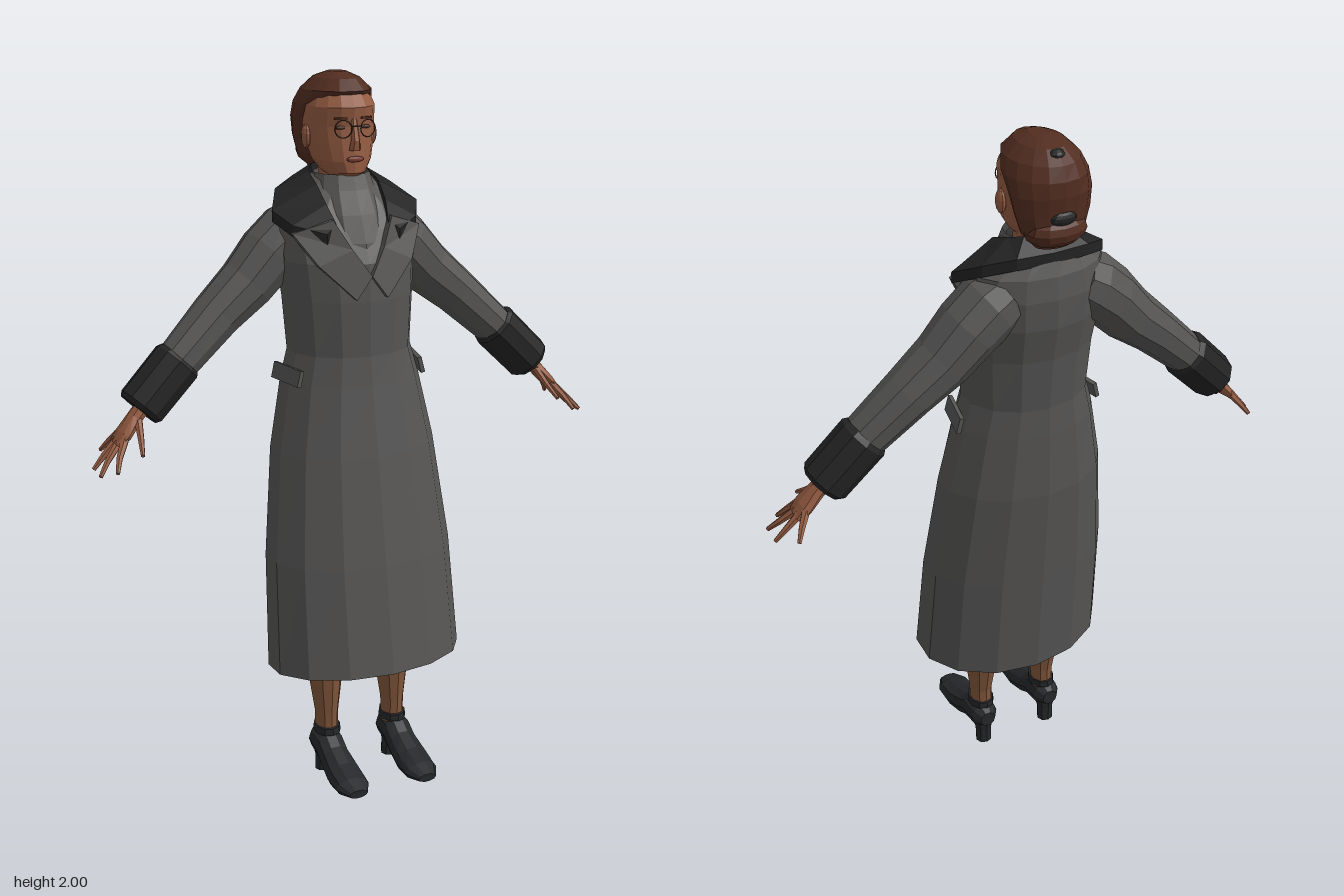
import * as THREE from 'three';

const mat = (name, color, side = THREE.FrontSide) => {
  const m = new THREE.MeshStandardMaterial({ color, flatShading: true, side });
  m.name = name;
  return m;
};

// Skin a list of equal-length rings; the rings run counter-clockwise about the loft direction.
function loft(rings, caps = true) {
  const pos = [];
  const n = rings[0].length;
  const tri = (...pts) => pts.forEach((p) => pos.push(p.x, p.y, p.z));
  for (let r = 0; r < rings.length - 1; r++) {
    const a = rings[r], b = rings[r + 1];
    for (let i = 0; i < n; i++) {
      const j = (i + 1) % n;
      tri(a[i], a[j], b[j]);
      tri(a[i], b[j], b[i]);
    }
  }
  if (caps) {
    const s = rings[0], e = rings[rings.length - 1];
    for (let i = 1; i < n - 1; i++) {
      tri(s[0], s[i + 1], s[i]);
      tri(e[0], e[i], e[i + 1]);
    }
  }
  const g = new THREE.BufferGeometry();
  g.setAttribute('position', new THREE.Float32BufferAttribute(pos, 3));
  g.computeVertexNormals();
  return g;
}

const ring = (n, f) => Array.from({ length: n }, (_, i) => f((i / n) * Math.PI * 2));

// Upright form from sections [y, half width, front z, back z, tilt], lowest first.
function upright(sections, { sides = 12, cx = 0, caps = true, egg = 0 } = {}) {
  return loft(sections.map(([y, w, zf, zb, tilt = 0]) => ring(sides, (t) => {
    const c = Math.cos(t), s = Math.sin(t);
    return new THREE.Vector3(cx + w * s * (1 - egg * c), y + tilt * c, (zf + zb) / 2 + ((zf - zb) / 2) * c);
  })), caps);
}

// Limb along stations [x, y, z, in-plane radius, depth radius].
function limb(stations, sides = 8) {
  const pts = stations.map((s) => new THREE.Vector3(s[0], s[1], s[2]));
  return loft(stations.map((s, i) => {
    const t = pts[Math.min(i + 1, pts.length - 1)].clone().sub(pts[Math.max(i - 1, 0)]).normalize();
    const B = new THREE.Vector3(0, 0, 1).addScaledVector(t, -t.z).normalize();
    const A = B.clone().cross(t);
    return ring(sides, (a) => pts[i].clone()
      .addScaledVector(A, s[3] * Math.cos(a)).addScaledVector(B, s[4] * Math.sin(a)));
  }));
}

// Thick cloth band between an inner and an outer edge.
function band(inner, outer, under) {
  return loft(inner.map((p, i) => {
    const a = new THREE.Vector3(...p), b = new THREE.Vector3(...outer[i]);
    return [a.clone().add(under), b.clone().add(under), b, a];
  }));
}

export function createModel() {
  const model = new THREE.Group();
  const wool = mat('coat grey', 0x565554, THREE.DoubleSide);
  const scarfGrey = mat('scarf grey', 0x5c5a58, THREE.DoubleSide);
  const fur = mat('trim black', 0x232323);
  const skin = mat('skin', 0x955c42);
  const stocking = mat('stocking brown', 0x81563a);
  const leather = mat('shoe black', 0x25272a);
  const hairBrown = mat('hair brown', 0x522d20);
  const lipRed = mat('lip', 0x7d3f33);
  const wire = mat('wire brown', 0x4a3128);

  const add = (name, geometry, material, parent = model) => {
    const mesh = new THREE.Mesh(geometry, material);
    mesh.name = name;
    parent.add(mesh);
    return mesh;
  };
  const blob = (name, material, p, r, parent = model, w = 10, h = 7) => {
    const m = add(name, new THREE.SphereGeometry(1, w, h), material, parent);
    m.position.set(...p);
    m.scale.set(...r);
    return m;
  };

  // Coat with a flared skirt, open at hem and neck
  add('coat', upright([
    [0.38, 0.285, 0.262, -0.14, 0.02], [0.7, 0.272, 0.207, -0.17], [1.0, 0.237, 0.152, -0.198],
    [1.19, 0.198, 0.114, -0.198], [1.27, 0.175, 0.102, -0.196], [1.42, 0.185, 0.1, -0.21],
    [1.52, 0.195, 0.092, -0.232], [1.6, 0.198, 0.05, -0.235], [1.66, 0.18, 0.005, -0.226],
    [1.715, 0.105, -0.03, -0.205], [1.735, 0.075, -0.04, -0.185],
  ], { sides: 14, caps: false }), wool);

  // Scarf wrapped round the neck
  add('scarf', upright([
    [1.5, 0.1, 0.085, -0.15], [1.57, 0.1, 0.07, -0.16], [1.64, 0.095, 0.038, -0.17],
    [1.7, 0.086, 0.002, -0.175], [1.74, 0.076, -0.015, -0.175],
  ], { caps: false }), scarfGrey);

  // Head
  const head = new THREE.Group();
  head.name = 'head';
  model.add(head);
  add('neck', upright([[1.64, 0.055, -0.04, -0.16], [1.78, 0.055, -0.05, -0.18]]), skin, head);
  add('face', upright([
    [1.728, 0.035, -0.025, -0.13], [1.745, 0.057, 0.0, -0.16], [1.775, 0.078, 0.0, -0.18],
    [1.82, 0.09, -0.005, -0.2], [1.865, 0.095, -0.009, -0.21], [1.915, 0.095, -0.002, -0.21],
    [1.95, 0.08, -0.025, -0.19], [1.975, 0.05, -0.06, -0.17],
  ], { sides: 16, egg: 0.06 }), skin, head);
  add('hair', upright([
    [1.74, 0.05, -0.17, -0.23], [1.78, 0.085, -0.14, -0.25], [1.83, 0.1, -0.13, -0.253],
    [1.88, 0.107, -0.1, -0.26], [1.92, 0.106, -0.045, -0.26], [1.955, 0.092, -0.015, -0.246],
    [1.985, 0.06, -0.045, -0.208], [2.0, 0.025, -0.09, -0.155],
  ], { sides: 16 }), hairBrown, head);
  blob('hairBun', hairBrown, [0, 1.785, -0.207], [0.085, 0.046, 0.06], head, 12, 8);
  blob('crownPin', fur, [0, 1.972, -0.208], [0.022, 0.014, 0.02], head);
  blob('bunPin', fur, [0, 1.825, -0.25], [0.036, 0.018, 0.013], head);
  add('nose', limb([
    [0, 1.885, -0.01, 0.008, 0.006], [0, 1.83, 0.0, 0.013, 0.013], [0, 1.806, -0.004, 0.017, 0.012],
  ], 6), skin, head);
  blob('lips', lipRed, [0, 1.782, -0.002], [0.026, 0.008, 0.006], head);
  const bridge = add('glassesBridge', new THREE.BoxGeometry(0.024, 0.003, 0.003), wire, head);
  bridge.position.set(0, 1.868, 0.004);

  // Parts made once for the left side and mirrored to the right
  for (const side of [1, -1]) {
    const half = new THREE.Group();
    half.name = side > 0 ? 'leftSide' : 'rightSide';
    half.scale.x = side;
    model.add(half);

    // Face details
    blob('ear', skin, [0.096, 1.835, -0.108], [0.012, 0.032, 0.02], half);
    blob('eye', wire, [0.036, 1.864, -0.016], [0.015, 0.005, 0.005], half);
    const brow = add('eyebrow', new THREE.BoxGeometry(0.034, 0.005, 0.006), hairBrown, half);
    brow.position.set(0.037, 1.888, -0.012);
    brow.rotation.y = 0.25;
    const lens = add('glassesRim', new THREE.TorusGeometry(0.023, 0.0018, 4, 14), wire, half);
    lens.position.set(0.035, 1.862, 0.001);
    lens.rotation.y = 0.2;

    // Fur collar and lapel
    add('collar', band(
      [[0, 1.755, -0.172], [0.06, 1.755, -0.16], [0.085, 1.742, -0.12], [0.09, 1.715, -0.05],
        [0.086, 1.67, 0.005], [0.075, 1.625, 0.045]],
      [[0, 1.72, -0.212], [0.1, 1.718, -0.2], [0.17, 1.695, -0.15], [0.213, 1.652, -0.065],
        [0.18, 1.62, 0.0], [0.105, 1.6, 0.055]],
      new THREE.Vector3(0, -0.03, 0)), fur, half);
    add('lapel', band(
      [[0.085, 1.635, 0.048], [0.045, 1.56, 0.085], [0, 1.49, 0.112]],
      [[0.185, 1.6, 0.01], [0.135, 1.52, 0.07], [0.045, 1.43, 0.113]],
      new THREE.Vector3(0, 0, -0.025)), wool, half);
    const flap = add('pocketFlap', new THREE.BoxGeometry(0.012, 0.045, 0.13), wool, half);
    flap.position.set(0.193, 1.212, -0.02);
    flap.rotation.set(0, -0.2, 0.25);

    // Sleeve and cuff
    add('sleeve', limb([
      [0.1, 1.6, -0.13, 0.08, 0.085], [0.14, 1.575, -0.13, 0.088, 0.092], [0.2, 1.525, -0.128, 0.084, 0.092],
      [0.27, 1.45, -0.122, 0.077, 0.084], [0.36, 1.375, -0.112, 0.067, 0.076], [0.49, 1.255, -0.088, 0.058, 0.064],
    ], 10), wool, half);
    add('cuff', limb([
      [0.472, 1.273, -0.09, 0.06, 0.064], [0.482, 1.263, -0.09, 0.069, 0.073],
      [0.588, 1.157, -0.077, 0.067, 0.072], [0.597, 1.148, -0.076, 0.058, 0.062],
    ], 10), fur, half);

    // Hand with spread fingers
    add('palm', limb([
      [0.575, 1.168, -0.075, 0.022, 0.028], [0.61, 1.13, -0.07, 0.02, 0.03],
      [0.645, 1.09, -0.062, 0.018, 0.043], [0.668, 1.066, -0.06, 0.011, 0.04],
    ]), skin, half);
    const fingers = {
      thumb: [[0.605, 1.13, -0.055], [0.615, 1.09, 0.0], [0.625, 1.06, 0.046]],
      indexFinger: [[0.65, 1.083, -0.033], [0.675, 1.046, 0.0], [0.69, 1.015, 0.03]],
      middleFinger: [[0.66, 1.075, -0.05], [0.7, 1.035, -0.025], [0.728, 1.002, 0.0]],
      ringFinger: [[0.66, 1.075, -0.072], [0.7, 1.035, -0.068], [0.73, 1.003, -0.062]],
      littleFinger: [[0.65, 1.088, -0.09], [0.673, 1.057, -0.115], [0.69, 1.03, -0.136]],
    };
    for (const [name, path] of Object.entries(fingers)) {
      add(name, limb(path.map((p, i) => [...p, 0.012 - i * 0.003, 0.012 - i * 0.003]), 6), skin, half);
    }

    // Leg
    add('leg', upright([
      [0.1, 0.032, 0.065, -0.01], [0.2, 0.033, 0.068, -0.012], [0.29, 0.045, 0.075, -0.03],
      [0.38, 0.051, 0.08, -0.042], [0.55, 0.06, 0.09, -0.05],
    ], { sides: 10, cx: 0.105 }), stocking, half);

    // Heeled shoe: sections [z, half width, bottom, top]
    add('shoe', loft([
      [-0.027, 0.024, 0.075, 0.125], [0.0, 0.042, 0.06, 0.142], [0.06, 0.045, 0.05, 0.142],
      [0.1, 0.046, 0.03, 0.115], [0.16, 0.052, 0.018, 0.092], [0.22, 0.05, 0.024, 0.076], [0.263, 0.028, 0.036, 0.06],
    ].map(([z, w, lo, hi]) => ring(10, (t) => new THREE.Vector3(
      0.108 + w * Math.cos(t), (lo + hi) / 2 + ((hi - lo) / 2) * Math.sin(t), z)))), leather, half);
    add('heel', upright([
      [0, 0.025, 0.03, -0.018], [0.05, 0.025, 0.034, -0.018], [0.1, 0.038, 0.05, -0.025],
    ], { sides: 8, cx: 0.108 }), leather, half);
    add('ankleStrap', upright([
      [0.138, 0.039, 0.078, -0.018], [0.158, 0.037, 0.076, -0.017],
    ], { sides: 10, cx: 0.105 }), leather, half);
  }
  return model;
}
